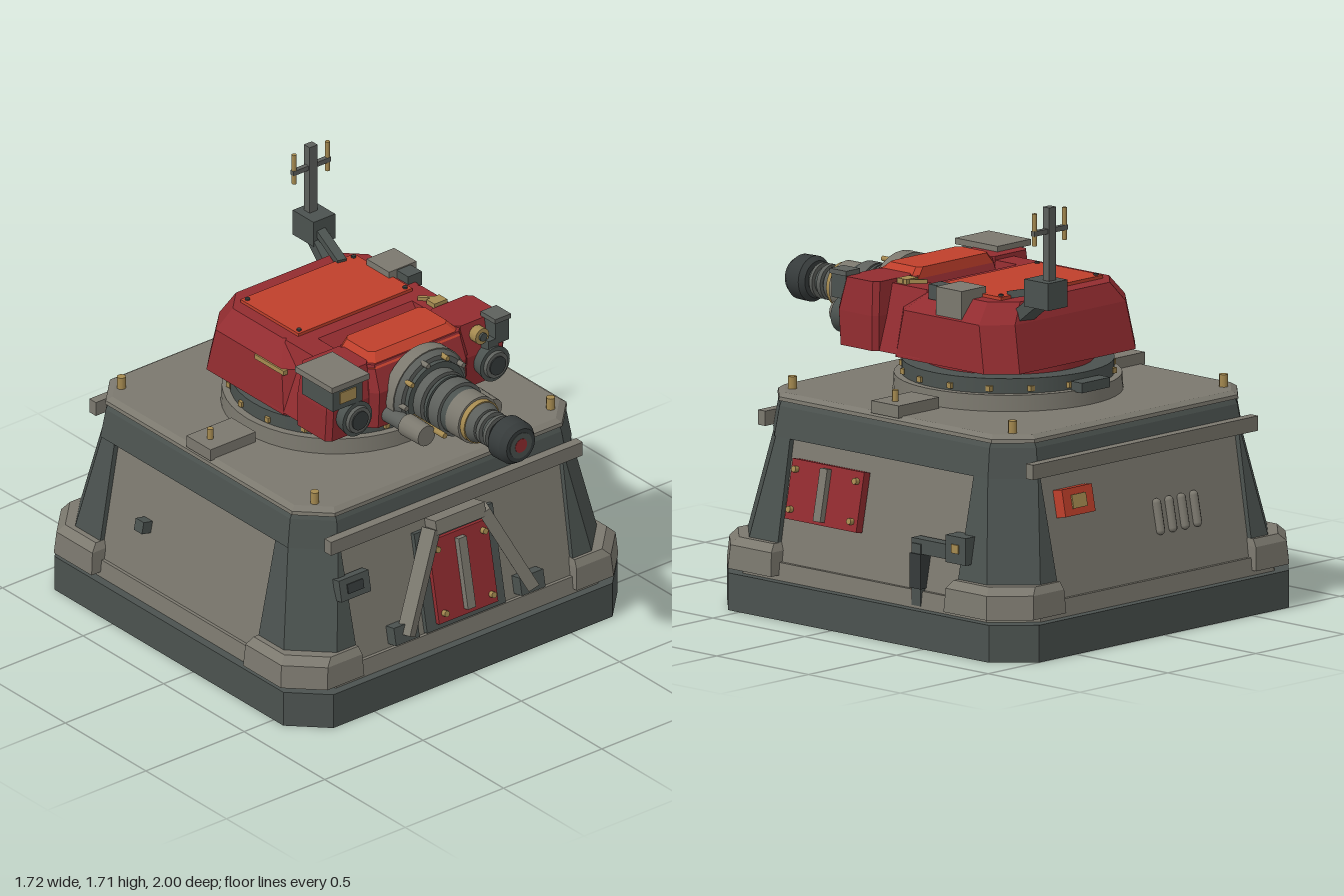
import * as THREE from 'three';

const mat = (name, color) => new THREE.MeshStandardMaterial({ name, color });
const M = {
  grey: mat('stone grey', 0x7b786e), dark: mat('dark slate', 0x4b524f), metal: mat('gun metal', 0x5d605c),
  black: mat('muzzle black', 0x363b3b), red: mat('deep red', 0x922c30), orange: mat('hatch orange', 0xbf3f2b),
  brass: mat('brass', 0xa58a50),
};
const CZ = -0.15; // centre of the bunker in z

export function createModel() {
  const root = new THREE.Group();
  root.name = 'turret bunker';

  const add = (name, geo, m, x = 0, y = 0, z = 0, parent = root) => {
    const mesh = new THREE.Mesh(geo, m);
    mesh.name = name;
    mesh.position.set(x, y, z);
    parent.add(mesh);
    return mesh;
  };
  const box = (name, m, w, h, d, x, y, z, p) => add(name, new THREE.BoxGeometry(w, h, d), m, x, y, z, p);
  const cylY = (name, m, r0, r1, y0, y1, x, z, seg = 32, p = root) =>
    add(name, new THREE.CylinderGeometry(r1, r0, y1 - y0, seg), m, x, (y0 + y1) / 2, z, p);
  const cylZ = (name, m, r0, r1, z0, z1, x, y, seg = 28, p = root) => {
    const c = add(name, new THREE.CylinderGeometry(r1, r0, z1 - z0, seg), m, x, y, (z0 + z1) / 2, p);
    c.rotation.x = Math.PI / 2;
    return c;
  };
  const beam = (name, m, a, b, w, h) => {
    const A = new THREE.Vector3(...a), B = new THREE.Vector3(...b);
    const mesh = new THREE.Mesh(new THREE.BoxGeometry(w, h, A.distanceTo(B)), m);
    mesh.name = name;
    mesh.position.copy(A).add(B).multiplyScalar(0.5);
    mesh.lookAt(B);
    root.add(mesh);
  };

  // Closed flat-shaded solid through horizontal rings [y, [[x, z], ...]]
  const loft = (name, m, rings) => {
    const p0 = rings[0][1], n = p0.length;
    let area = 0;
    p0.forEach(([x, z], i) => { const [u, v] = p0[(i + 1) % n]; area += x * v - u * z; });
    const R = rings.map(([y, pts]) => (area > 0 ? [...pts].reverse() : pts).map(([x, z]) => [x, y, z]));
    const pos = [];
    const tri = (...v) => v.forEach((q) => pos.push(...q));
    for (let k = 0; k + 1 < R.length; k++) for (let i = 0; i < n; i++) {
      const j = (i + 1) % n;
      tri(R[k][i], R[k][j], R[k + 1][j]);
      tri(R[k][i], R[k + 1][j], R[k + 1][i]);
    }
    const top = R[R.length - 1];
    for (let i = 1; i + 1 < n; i++) { tri(top[0], top[i], top[i + 1]); tri(R[0][0], R[0][i + 1], R[0][i]); }
    const g = new THREE.BufferGeometry();
    g.setAttribute('position', new THREE.Float32BufferAttribute(pos, 3));
    g.computeVertexNormals();
    return add(name, g, m);
  };
  // Rectangle with cut corners, and one corner of such a rectangle
  const oct = (x0, x1, z0, z1, c) => [[x1, z1 - c], [x1, z0 + c], [x1 - c, z0], [x0 + c, z0],
    [x0, z0 + c], [x0, z1 - c], [x0 + c, z1], [x1 - c, z1]];
  const sq = (h, c) => oct(-h, h, CZ - h, CZ + h, c);
  const corner = (sx, sz, hx, hz, c, ix, iz) => [[ix, hz], [hx - c, hz], [hx, hz - c], [hx, iz], [ix, iz]]
    .map(([x, z]) => [sx * x, CZ + sz * z]);

  // Bunker: slab, walls, collar and deck
  loft('base slab', M.dark, [[0, sq(0.85, 0.14)], [0.15, sq(0.85, 0.14)]]);
  loft('sill', M.grey, [[0.15, sq(0.815, 0.15)], [0.22, sq(0.805, 0.15)]]);
  loft('walls', M.grey, [[0.2, sq(0.795, 0.15)], [0.72, sq(0.691, 0.13)]]);
  loft('upper collar', M.dark, [[0.7, sq(0.722, 0.14)], [0.82, sq(0.702, 0.13)], [0.845, sq(0.69, 0.12)]]);
  loft('deck', M.grey, [[0.84, sq(0.7, 0.12)], [0.855, sq(0.698, 0.12)], [0.87, sq(0.675, 0.11)]]);
  for (const sx of [-1, 1]) for (const sz of [-1, 1]) {
    loft('corner pillar', M.dark, [[0.25, corner(sx, sz, 0.805, 0.805, 0.15, 0.55, 0.49)],
      [0.7, corner(sx, sz, 0.718, 0.718, 0.14, 0.565, 0.5)]]);
    loft('corner foot', M.grey, [[0.17, corner(sx, sz, 0.858, 0.835, 0.13, 0.54, 0.47)],
      [0.265, corner(sx, sz, 0.85, 0.828, 0.13, 0.545, 0.475)], [0.295, corner(sx, sz, 0.82, 0.81, 0.13, 0.55, 0.49)]]);
    cylY('deck pin', M.brass, 0.018, 0.018, 0.86, 0.92, sx * 0.6, CZ + sz * 0.6, 10);
  }
  for (const s of [-1, 1]) {
    box('lip bar', M.grey, 1.28, 0.06, 0.04, 0, 0.738, CZ + s * 0.73);
    box('deck block', M.grey, 0.23, 0.05, 0.15, s * 0.585, 0.89, CZ);
    cylY('block pin', M.brass, 0.013, 0.013, 0.91, 0.96, s * 0.64, CZ, 10);
  }

  // Frames lying on the sloped walls: local x along, y up from 0.45, z outward
  const wall = (name, turn) => {
    const g = new THREE.Group();
    g.name = name;
    g.rotation.order = 'YXZ';
    g.rotation.set(-0.197, turn, 0);
    g.position.set(Math.sin(turn) * 0.746, 0.45, CZ + Math.cos(turn) * 0.746);
    root.add(g);
    return g;
  };
  const front = wall('front wall fittings', 0), left = wall('left wall fittings', Math.PI / 2);
  const back = wall('back wall fittings', Math.PI), right = wall('right wall fittings', -Math.PI / 2);
  const plate = (name, w, h, x, y, p) => {
    box(name, M.red, w, h, 0.035, x, y, 0.022, p);
    box(name + ' bar', M.grey, 0.04, h * 0.8 + 0.02, 0.03, x, y, 0.05, p);
    for (const sx of [-1, 1]) for (const sy of [-1, 1])
      cylZ(name + ' bolt', M.brass, 0.013, 0.013, 0.03, 0.06, x + sx * (w / 2 - 0.03), y + sy * (h / 2 - 0.04), 8, p);
  };

  // Front door with lintel and bracing struts
  box('door frame', M.dark, 0.4, 0.42, 0.02, 0, -0.02, 0.01, front);
  plate('door', 0.3, 0.35, 0, -0.03, front);
  box('door lintel', M.grey, 0.25, 0.06, 0.07, 0, 0.2, 0.035, front);
  for (const s of [-1, 1]) {
    beam('door strut', M.grey, [s * 0.13, 0.65, 0.6], [s * 0.32, 0.27, 0.675], 0.06, 0.05);
    box('strut foot', M.dark, 0.12, 0.075, 0.06, s * 0.32, -0.18, 0.02, front);
  }
  box('wall socket', M.dark, 0.15, 0.09, 0.04, -0.54, 0.09, 0.03, front);
  box('socket slot', M.black, 0.08, 0.04, 0.006, -0.54, 0.09, 0.052, front);

  // Left wall: service panel and conduit
  plate('service panel', 0.39, 0.24, -0.26, 0.06, left);
  box('conduit', M.dark, 0.05, 0.25, 0.05, 0.79, 0.285, -0.43);
  box('conduit', M.dark, 0.05, 0.06, 0.22, 0.785, 0.4, -0.51);
  box('conduit sleeve', M.black, 0.06, 0.14, 0.06, 0.79, 0.3, -0.43);
  box('junction box', M.dark, 0.08, 0.11, 0.11, 0.775, 0.415, -0.645);
  box('junction label', M.brass, 0.008, 0.035, 0.04, 0.817, 0.42, -0.645);

  // Back wall: control box and vents; right wall: small port
  box('control box', M.orange, 0.17, 0.11, 0.05, -0.4, 0.135, 0.025, back);
  box('control label', M.brass, 0.08, 0.055, 0.008, -0.4, 0.135, 0.052, back);
  for (let i = 0; i < 4; i++)
    add('vent', new THREE.CapsuleGeometry(0.018, 0.11, 4, 10), M.grey, 0.07 + i * 0.07, 0, 0.008, back);
  box('wall port', M.dark, 0.05, 0.05, 0.05, -0.26, 0, 0.02, right);

  // Turret ring
  cylY('ring base', M.grey, 0.455, 0.45, 0.86, 0.935, 0, CZ, 48);
  cylY('ring', M.dark, 0.42, 0.42, 0.93, 0.995, 0, CZ, 48);
  cylY('collar', M.red, 0.34, 0.34, 0.99, 1.05, 0, CZ, 40);
  for (let i = 0; i < 16; i++) {
    const a = (i + 0.5) / 16 * Math.PI * 2;
    box('ring bolt', M.brass, 0.022, 0.022, 0.022, Math.sin(a) * 0.42, 0.955, CZ + Math.cos(a) * 0.42);
  }
  box('ring latch', M.dark, 0.16, 0.04, 0.06, 0, 0.95, -0.6);

  // Turret hull with shoulders and hood
  loft('hull', M.red, [[1.03, oct(-0.43, 0.43, -0.53, 0.15, 0.1)], [1.22, oct(-0.415, 0.415, -0.49, 0.12, 0.1)],
    [1.3, oct(-0.345, 0.345, -0.46, 0.03, 0.09)]]);
  for (const s of [-1, 1]) {
    const ring = (x0, x1, z0, z1, c) => oct(Math.min(s * x0, s * x1), Math.max(s * x0, s * x1), z0, z1, c);
    loft('shoulder', M.red, [[1.04, ring(0.2, 0.43, -0.1, 0.2, 0.02)], [1.3, ring(0.24, 0.345, -0.06, 0.17, 0.02)]]);
    loft('cheek', M.red, [[1.04, ring(0.2, 0.45, 0.14, 0.35, 0.02)], [1.18, ring(0.2, 0.45, 0.14, 0.36, 0.02)],
      [1.315, ring(0.22, 0.435, 0.15, 0.33, 0.02)]]);
    // Head lamps and recoil tubes
    cylZ('lamp', M.dark, 0.06, 0.075, 0.33, 0.41, s * 0.35, 1.14);
    cylZ('lamp rim', M.metal, 0.058, 0.055, 0.41, 0.425, s * 0.35, 1.14);
    cylZ('lamp lens', M.black, 0.04, 0.04, 0.42, 0.43, s * 0.35, 1.14);
    box('lamp bracket', M.dark, 0.05, 0.05, 0.06, s * 0.35, 1.22, 0.37);
    cylZ('recoil tube', M.metal, 0.035, 0.035, 0.38, 0.6, s * 0.17, 1.09, 16);
    cylZ('recoil cap', M.grey, 0.047, 0.044, 0.5, 0.62, s * 0.17, 1.09, 16);
    cylZ('brass rod', M.brass, 0.012, 0.012, 0.45, 0.68, s * 0.125, 1.1, 8);
  }
  loft('mantlet', M.red, [[1.04, oct(-0.25, 0.25, 0.1, 0.38, 0.03)], [1.2, oct(-0.25, 0.25, 0.1, 0.39, 0.03)],
    [1.31, oct(-0.235, 0.235, 0.14, 0.35, 0.02)]]);
  loft('mantlet hood', M.orange, [[1.295, oct(-0.235, 0.235, 0.135, 0.36, 0.02)], [1.34, oct(-0.2, 0.2, 0.14, 0.31, 0.02)]]);
  box('roof hatch', M.orange, 0.58, 0.016, 0.36, 0, 1.305, -0.21);
  for (const x of [-0.27, 0.27]) for (const z of [-0.37, -0.05]) cylY('hatch screw', M.black, 0.01, 0.01, 1.305, 1.32, x, z, 8);

  // Gun: [material, back radius, front radius, z start, z end]
  [[M.grey, 0.185, 0.185, 0.37, 0.43], [M.metal, 0.18, 0.165, 0.43, 0.455], [M.dark, 0.145, 0.145, 0.45, 0.475],
    [M.metal, 0.12, 0.12, 0.47, 0.52], [M.dark, 0.1, 0.1, 0.52, 0.56], [M.dark, 0.115, 0.115, 0.535, 0.55],
    [M.metal, 0.115, 0.115, 0.56, 0.62], [M.dark, 0.1, 0.1, 0.62, 0.65], [M.grey, 0.1, 0.1, 0.65, 0.73],
    [M.brass, 0.09, 0.09, 0.73, 0.755], [M.metal, 0.085, 0.07, 0.755, 0.79], [M.dark, 0.055, 0.055, 0.79, 0.9],
    [M.metal, 0.072, 0.072, 0.805, 0.825], [M.metal, 0.072, 0.072, 0.85, 0.865], [M.black, 0.075, 0.092, 0.885, 0.905],
    [M.black, 0.092, 0.09, 0.905, 0.97], [M.black, 0.09, 0.072, 0.97, 0.997],
  ].forEach(([m, r0, r1, z0, z1]) => cylZ('gun section', m, r0, r1, z0, z1, 0, 1.15, 32));
  cylZ('muzzle ring', M.dark, 0.055, 0.055, 0.99, 0.999, 0, 1.15);
  cylZ('muzzle core', M.red, 0.03, 0.03, 0.99, 1, 0, 1.15);
  for (let i = 0; i < 10; i++) {
    const a = (i + 0.5) / 10 * Math.PI * 2;
    cylZ('flange bolt', i % 2 ? M.grey : M.brass, 0.011, 0.011, 0.44, 0.485, Math.sin(a) * 0.16, 1.15 + Math.cos(a) * 0.16, 8);
  }

  // Sensor box on the right cheek, gear and sight on the left
  box('sensor lid', M.grey, 0.19, 0.025, 0.23, -0.4, 1.325, 0.315);
  box('sensor body', M.dark, 0.15, 0.1, 0.19, -0.4, 1.265, 0.315);
  box('sensor screen', M.brass, 0.08, 0.05, 0.008, -0.4, 1.265, 0.412);
  cylZ('gear', M.brass, 0.035, 0.035, 0.34, 0.38, 0.31, 1.265, 12);
  cylZ('gear hub', M.dark, 0.018, 0.018, 0.36, 0.39, 0.31, 1.265, 12);
  box('sight', M.dark, 0.07, 0.1, 0.08, 0.395, 1.27, 0.36);
  box('sight cap', M.metal, 0.08, 0.02, 0.09, 0.395, 1.325, 0.36);

  // Roof fittings
  box('roof unit', M.grey, 0.14, 0.12, 0.14, 0.34, 1.28, -0.22);
  box('roof unit lens', M.dark, 0.07, 0.06, 0.08, 0.345, 1.305, -0.12);
  beam('brass lever', M.brass, [0.26, 1.31, 0.04], [0.33, 1.31, 0.11], 0.015, 0.015);
  box('lever block', M.brass, 0.065, 0.03, 0.05, 0.3, 1.305, 0.11);
  box('side handle', M.brass, 0.02, 0.02, 0.18, -0.412, 1.21, -0.05);

  // Antenna
  beam('antenna arm', M.dark, [0.21, 1.31, -0.37], [0.26, 1.37, -0.6], 0.04, 0.03);
  beam('antenna brace', M.dark, [0.24, 1.24, -0.46], [0.26, 1.34, -0.6], 0.08, 0.05);
  box('antenna base', M.dark, 0.11, 0.11, 0.13, 0.265, 1.36, -0.61);
  box('antenna mast', M.metal, 0.04, 0.3, 0.035, 0.265, 1.56, -0.63);
  box('antenna crossbar', M.metal, 0.19, 0.02, 0.02, 0.265, 1.615, -0.63);
  for (const s of [-1, 1]) cylY('antenna prong', M.brass, 0.01, 0.01, 1.565, 1.695, 0.265 + s * 0.085, -0.63, 8);
  return root;
}
